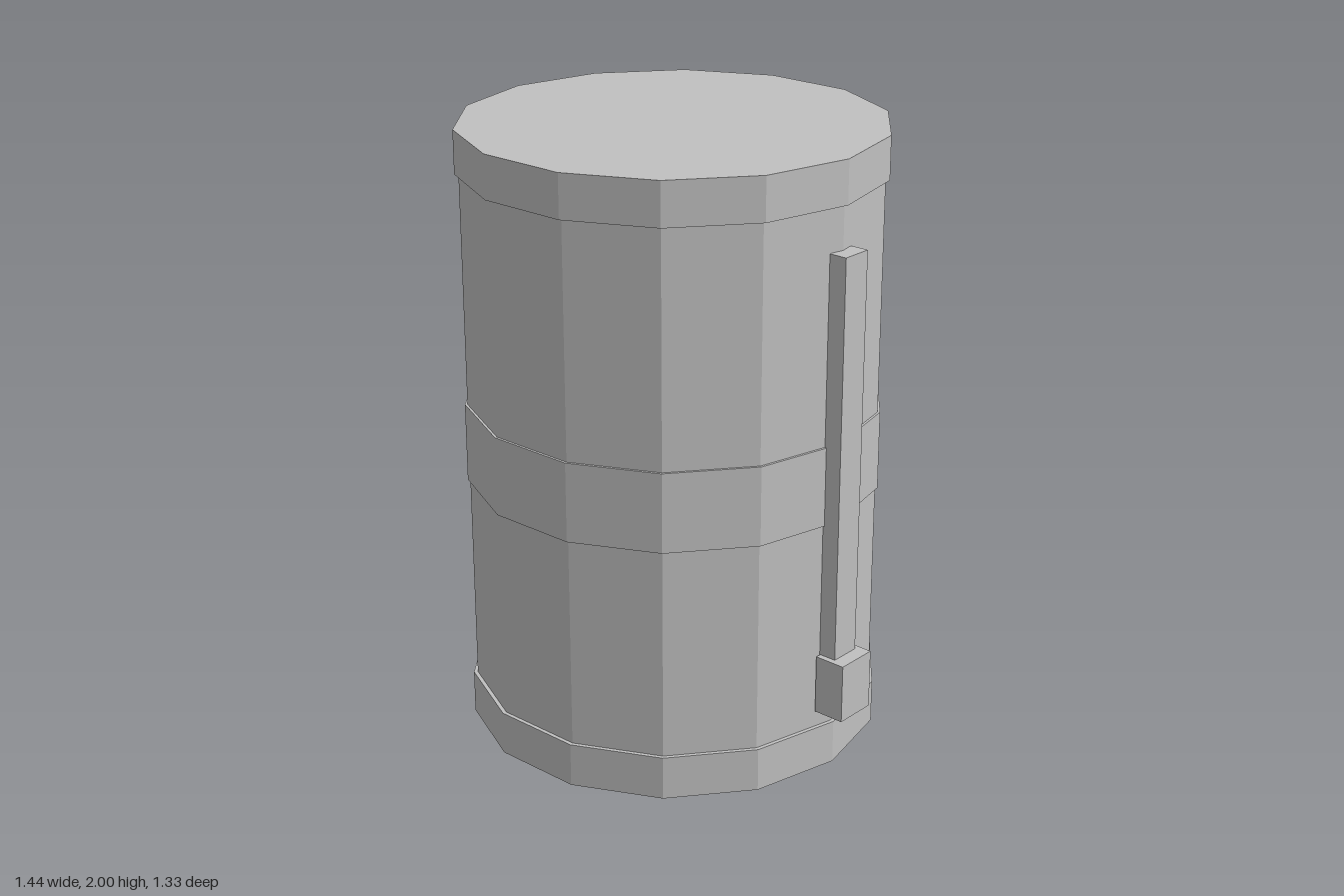
import * as THREE from 'three';

const SIDES = 14;
const AXIS_X = -0.045;

export function createModel() {
  const group = new THREE.Group();
  const grey = new THREE.MeshStandardMaterial({ color: 0xc0c0c0, flatShading: true });
  grey.name = 'plain grey';

  const add = (name, geometry, x, y) => {
    const mesh = new THREE.Mesh(geometry, grey);
    mesh.name = name;
    mesh.position.set(x, y, 0);
    group.add(mesh);
  };

  // Turned part from [radius, height] pairs, with a corner pointing along +x
  const turned = (name, profile) => {
    const points = profile.map(([r, y]) => new THREE.Vector2(r, y));
    add(name, new THREE.LatheGeometry(points, SIDES).rotateY(Math.PI / 2), AXIS_X, 0);
  };

  // Tank wall, with a slightly wider band round the middle
  turned('tankWall', [[0.667, 0.145], [0.667, 1.86]]);
  turned('middleBand', [[0.667, 0.845], [0.675, 0.845], [0.675, 1.105], [0.667, 1.105]]);

  // Closed lid
  turned('topRim', [[0.667, 1.86], [0.68, 1.86], [0.68, 2], [0, 2]]);

  // Foot rim around a recessed underside
  turned('bottomRim', [
    [0, 0.145], [0.667, 0.145], [0.667, 0.03], [0.68, 0], [0.68, 0.145], [0.667, 0.145],
  ]);

  // Level gauge on the side: upright tube and valve block
  add('gaugeTube', new THREE.BoxGeometry(0.06, 1.32, 0.104), 0.643, 1.06);
  add('gaugeBlock', new THREE.BoxGeometry(0.105, 0.195, 0.143), 0.6675, 0.3025);

  return group;
}
